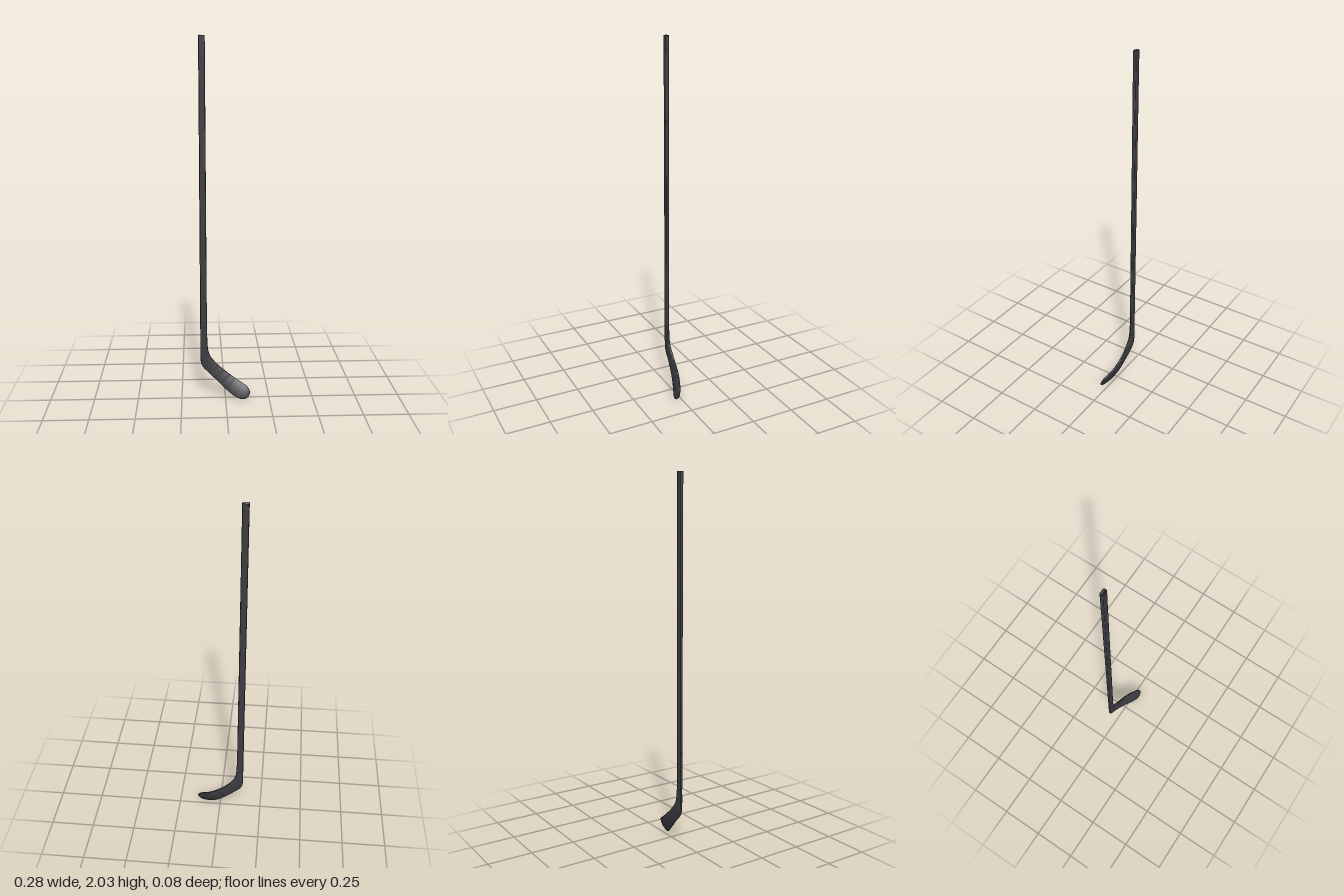
import * as THREE from 'three';
import { toCreasedNormals } from 'three/addons/utils/BufferGeometryUtils.js';

const CORNER = 4; // segments per rounded corner

// Rounded rectangle of width w and thickness t, as [across, through] pairs
function section(w, t) {
  const r = Math.min(0.006, 0.45 * t, 0.45 * w);
  const pts = [];
  for (let q = 0; q < 4; q++) {
    const sx = q === 0 || q === 3 ? 1 : -1;
    const sy = q < 2 ? 1 : -1;
    for (let k = 0; k <= CORNER; k++) {
      const a = (q + k / CORNER) * Math.PI / 2;
      pts.push([sx * (w / 2 - r) + r * Math.cos(a), sy * (t / 2 - r) + r * Math.sin(a)]);
    }
  }
  return pts;
}

// Skin through rows of [heel edge x,y,z, toe edge x,y,z, thickness]
function loft(rows, steps, capStart, capEnd) {
  const edge = (o) => new THREE.CatmullRomCurve3(rows.map((r) => new THREE.Vector3(r[o], r[o + 1], r[o + 2])), false, 'catmullrom', 0.5);
  const heel = edge(0), toe = edge(3);
  const mid = (u) => heel.getPoint(u).lerp(toe.getPoint(u), 0.5);
  const pos = [], idx = [], centres = [];
  const n = 4 * (CORNER + 1);
  for (let i = 0; i <= steps; i++) {
    const u = i / steps;
    const f = u * (rows.length - 1);
    const k = Math.min(Math.floor(f), rows.length - 2);
    const t = THREE.MathUtils.lerp(rows[k][6], rows[k + 1][6], f - k);
    const c = mid(u);
    const chord = toe.getPoint(u).sub(heel.getPoint(u));
    const w = chord.length();
    chord.normalize();
    const tangent = mid(Math.min(1, u + 0.005)).sub(mid(Math.max(0, u - 0.005)));
    const normal = new THREE.Vector3().crossVectors(chord, tangent).normalize();
    for (const [a, b] of section(w, t)) {
      const p = c.clone().addScaledVector(chord, a).addScaledVector(normal, b);
      pos.push(p.x, p.y, p.z);
    }
    centres.push(c);
  }
  for (let i = 0; i < steps; i++) {
    for (let j = 0; j < n; j++) {
      const a = i * n + j, b = i * n + (j + 1) % n;
      idx.push(a, a + n, b, b, a + n, b + n);
    }
  }
  const cap = (row, flip) => {
    const m = pos.length / 3, c = centres[row];
    pos.push(c.x, c.y, c.z);
    for (let j = 0; j < n; j++) {
      const a = row * n + j, b = row * n + (j + 1) % n;
      idx.push(m, flip ? b : a, flip ? a : b);
    }
  };
  if (capStart) cap(0, false);
  if (capEnd) cap(steps, true);
  const g = new THREE.BufferGeometry();
  g.setAttribute('position', new THREE.Float32BufferAttribute(pos, 3));
  g.setIndex(idx);
  return toCreasedNormals(g, 0.8);
}

export function createModel() {
  const group = new THREE.Group();
  group.name = 'hockeyStick';
  const material = new THREE.MeshStandardMaterial({ color: 0x3c3c42 });
  const add = (name, geometry) => {
    const mesh = new THREE.Mesh(geometry, material);
    mesh.name = name;
    group.add(mesh);
  };

  // Long shaft, tapering gently towards the blade
  add('shaft', loft([
    [-0.142, 2, -0.03, -0.107, 2, -0.03, 0.021],
    [-0.142, 0.42, -0.028, -0.104, 0.42, -0.028, 0.015],
  ], 8, true, false));

  // Heel bend and curved, tilted blade with a rounded toe
  add('blade', loft([
    [-0.142, 0.42, -0.028, -0.104, 0.42, -0.028, 0.015],
    [-0.142, 0.32, -0.028, -0.102, 0.34, -0.028, 0.014],
    [-0.142, 0.25, -0.028, -0.098, 0.285, -0.028, 0.014],
    [-0.139, 0.205, -0.028, -0.088, 0.25, -0.028, 0.013],
    [-0.125, 0.175, -0.027, -0.068, 0.22, -0.028, 0.012],
    [-0.09, 0.14, -0.024, -0.03, 0.18, -0.027, 0.011],
    [-0.045, 0.095, -0.016, 0.015, 0.143, -0.023, 0.01],
    [0, 0.052, -0.005, 0.058, 0.112, -0.014, 0.01],
    [0.045, 0.018, 0.012, 0.095, 0.09, -0.001, 0.009],
    [0.085, 0.002, 0.028, 0.12, 0.075, 0.009, 0.009],
    [0.112, 0.004, 0.033, 0.133, 0.059, 0.017, 0.008],
    [0.13, 0.017, 0.031, 0.139, 0.045, 0.022, 0.007],
    [0.138, 0.03, 0.027, 0.14, 0.034, 0.026, 0.005],
  ], 72, false, true));

  return group;
}
